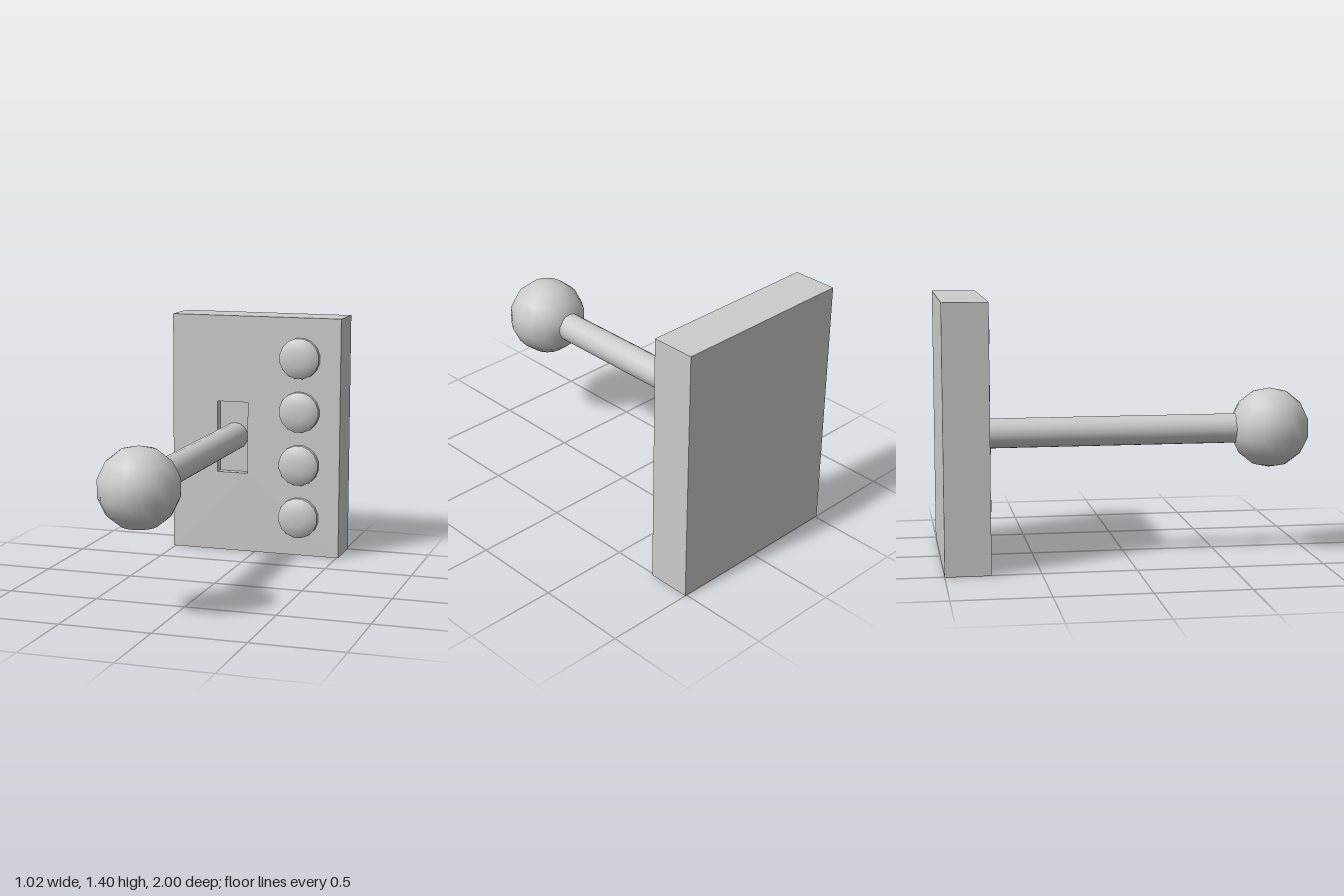
import * as THREE from 'three';
import { toCreasedNormals } from 'three/addons/utils/BufferGeometryUtils.js';

export function createModel() {
  const model = new THREE.Group();
  const material = new THREE.MeshStandardMaterial({ color: 0xcccccc });
  const add = (name, geometry, x, y, z, parent = model) => {
    const mesh = new THREE.Mesh(geometry, material);
    mesh.name = name;
    mesh.position.set(x, y, z);
    parent.add(mesh);
    return mesh;
  };
  const rect = (path, x0, y0, x1, y1) =>
    path.moveTo(x0, y0).lineTo(x1, y0).lineTo(x1, y1).lineTo(x0, y1).closePath();

  const width = 1.02, height = 1.405, front = -0.76, back = -1, slotDepth = 0.05;
  const leverX = -0.14, leverY = 0.685, slotW = 0.186, slotH = 0.424;

  // Wall plate: one block with a shallow slot sunk into its front
  const outline = rect(new THREE.Shape(), -width / 2, 0, width / 2, height);
  outline.holes.push(rect(new THREE.Path(), leverX - slotW / 2, leverY - slotH / 2,
    leverX + slotW / 2, leverY + slotH / 2));
  const floorZ = front - slotDepth;
  add('plate', new THREE.ExtrudeGeometry(outline, { depth: front - back, bevelEnabled: false }), 0, 0, back);
  const fillDepth = floorZ - back;
  add('slotFloor', new THREE.BoxGeometry(slotW, slotH, fillDepth), leverX, leverY, back + fillDepth / 2);

  // Lever: rod with a ball knob
  const lever = new THREE.Group();
  lever.name = 'lever';
  lever.position.set(leverX, leverY, 0);
  model.add(lever);
  const rodEnd = 0.62;
  add('leverRod', new THREE.CylinderGeometry(0.08, 0.08, rodEnd - floorZ, 16).rotateX(Math.PI / 2),
    0, 0, (rodEnd + floorZ) / 2, lever);
  add('leverKnob', new THREE.SphereGeometry(0.217, 16, 7), 0, 0, 0.787, lever);

  // Column of four domed buttons
  const profile = [[0.119, 0], [0.119, 0.03], [0.095, 0.047], [0.052, 0.058], [0, 0.06]]
    .map(([r, h]) => new THREE.Vector2(r, h));
  const button = toCreasedNormals(new THREE.LatheGeometry(profile, 16)
    .rotateY(Math.PI / 16).rotateX(Math.PI / 2), 0.7);
  for (let i = 0; i < 4; i++) add(`button${i + 1}`, button, 0.27, 0.228 + i * 0.314, front);

  return model;
}
